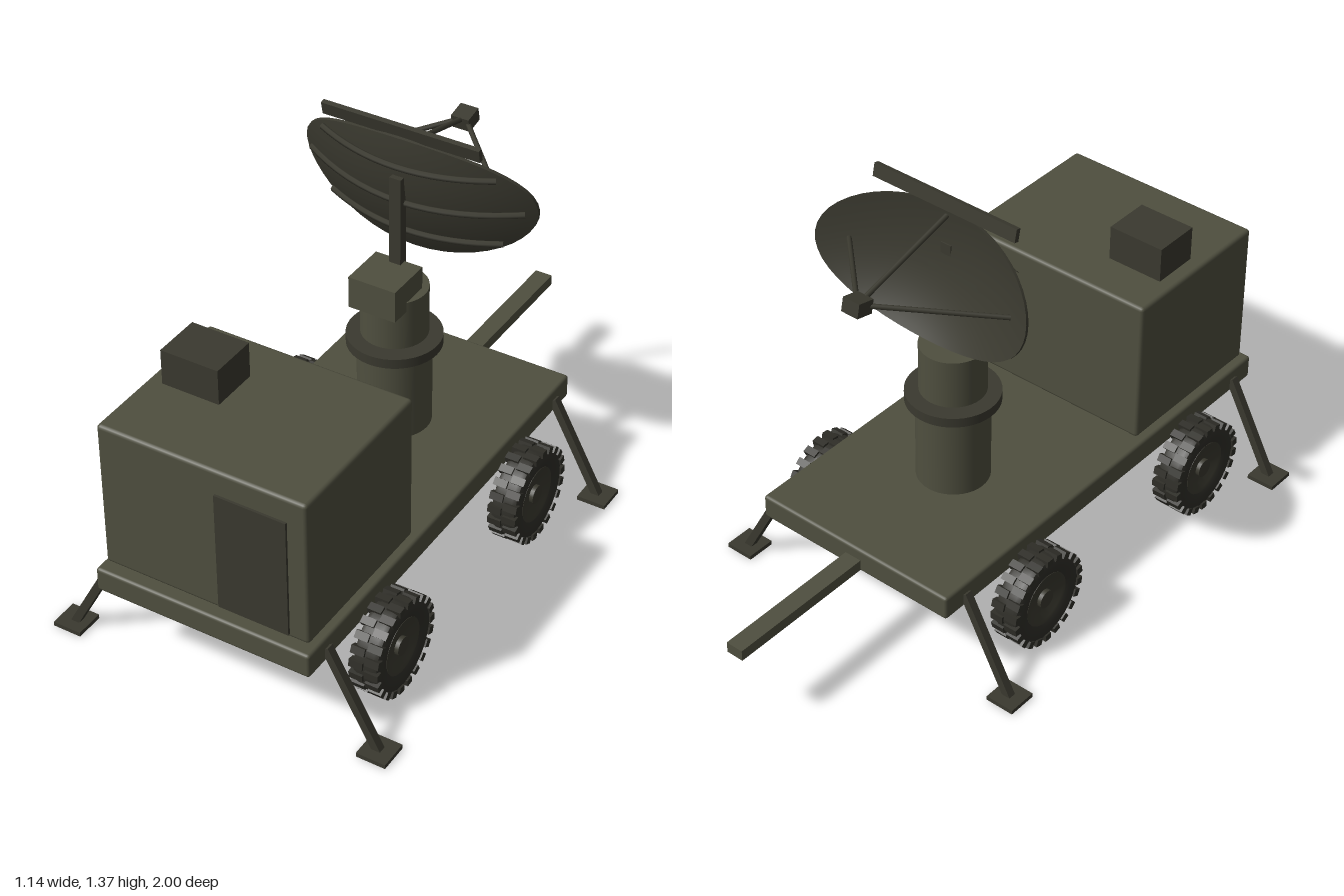
import * as THREE from 'three';
import { toCreasedNormals } from 'three/addons/utils/BufferGeometryUtils.js';
import { RoundedBoxGeometry } from 'three/addons/geometries/RoundedBoxGeometry.js';

const olive = new THREE.MeshStandardMaterial({ color: 0x4f4f3f, name: 'olive paint' });
const dark = new THREE.MeshStandardMaterial({ color: 0x3a392f, name: 'dark olive' });
const rubber = new THREE.MeshStandardMaterial({ color: 0x2f2e28, name: 'tyre rubber' });

function add(parent, name, geometry, material, x = 0, y = 0, z = 0) {
  const m = new THREE.Mesh(geometry, material);
  m.name = name;
  m.position.set(x, y, z);
  parent.add(m);
  return m;
}

// Box given by its size and centre, with an optional bevel
function box(parent, name, mat, [w, h, d], [x, y, z], bevel = 0) {
  const g = bevel ? new RoundedBoxGeometry(w, h, d, 2, bevel) : new THREE.BoxGeometry(w, h, d);
  return add(parent, name, g, mat, x, y, z);
}

// Upright cylinder between two heights
function drum(parent, name, mat, r, y0, y1, z) {
  return add(parent, name, new THREE.CylinderGeometry(r, r, y1 - y0, 40), mat, 0, (y0 + y1) / 2, z);
}

// Straight rod between two points; sides = 4 gives a square bar
function rod(parent, name, mat, from, to, r, sides) {
  const a = new THREE.Vector3(...from), b = new THREE.Vector3(...to);
  const g = new THREE.CylinderGeometry(r, r, a.distanceTo(b), sides);
  if (sides === 4) g.rotateY(Math.PI / 4);
  const m = add(parent, name, sides === 4 ? toCreasedNormals(g, 0.5) : g, mat);
  m.position.addVectors(a, b).multiplyScalar(0.5);
  m.quaternion.setFromUnitVectors(new THREE.Vector3(0, 1, 0), b.sub(a).normalize());
  return m;
}

// Lathe around the x axis with crisp edges
function wheelLathe(points) {
  const g = new THREE.LatheGeometry(points.map(p => new THREE.Vector2(...p)), 40);
  return toCreasedNormals(g.rotateZ(-Math.PI / 2), 0.6);
}

function makeWheel() {
  const wheel = new THREE.Group();
  wheel.name = 'wheel';
  add(wheel, 'tyre', wheelLathe([
    [0.088, -0.036], [0.105, -0.043], [0.13, -0.045], [0.146, -0.038], [0.151, -0.025],
    [0.151, 0.025], [0.146, 0.038], [0.13, 0.045], [0.105, 0.043], [0.088, 0.036], [0.088, -0.036],
  ]), rubber);
  add(wheel, 'rim', wheelLathe([
    [0, -0.026], [0.06, -0.026], [0.078, -0.036], [0.09, -0.038],
    [0.09, 0.038], [0.078, 0.036], [0.06, 0.026], [0, 0.026],
  ]), dark);
  const hub = add(wheel, 'hub', new THREE.CylinderGeometry(0.03, 0.03, 0.078, 20), dark);
  hub.rotation.z = Math.PI / 2;
  // Two staggered rows of tread lugs
  const lugs = 22;
  for (const side of [-1, 1]) {
    for (let i = 0; i < lugs; i++) {
      const a = ((i + (side > 0 ? 0.5 : 0)) / lugs) * Math.PI * 2;
      const lug = box(wheel, 'treadLug', rubber, [0.045, 0.022, 0.024],
        [side * 0.0255, 0.147 * Math.cos(a), 0.147 * Math.sin(a)]);
      lug.rotation.x = a;
    }
  }
  return wheel;
}

// Depth of the reflector at a point of its face; it opens towards -z
const CURVE = 0.765;
const depth = (x, y) => -CURVE * (x * x + y * y);

function makeAntenna() {
  const antenna = new THREE.Group();
  antenna.name = 'antenna';
  antenna.position.set(0, 1.123, -0.085);
  antenna.rotation.x = 0.218;

  // Oval cut of a paraboloid, as a thin closed shell
  const rings = 12, profile = [];
  for (let i = 0; i <= rings; i++) profile.push(new THREE.Vector2(i / rings, 0));
  for (let i = rings; i >= 0; i--) profile.push(new THREE.Vector2(i / rings, 0.01));
  const g = new THREE.LatheGeometry(profile, 48).rotateX(Math.PI / 2);
  const p = g.attributes.position;
  for (let i = 0; i < p.count; i++) {
    const x = p.getX(i) * 0.39, y = p.getY(i) * 0.212;
    // the lathe height is the shell thickness, pointing either way along z
    p.setXYZ(i, x, y, depth(x, y) + Math.abs(p.getZ(i)));
  }
  const shell = dark.clone();
  shell.name = 'reflector dark olive';
  shell.side = THREE.DoubleSide;
  add(antenna, 'reflector', toCreasedNormals(g, 0.7), shell);

  // Curved ribs across the back
  for (const [y, half] of [[-0.125, 0.29], [0, 0.36], [0.125, 0.29]]) {
    const pts = [];
    for (let i = -6; i <= 6; i++) {
      const x = (i / 6) * half;
      pts.push(new THREE.Vector3(x, y, depth(x, y) + 0.016));
    }
    const curve = new THREE.CatmullRomCurve3(pts);
    add(antenna, 'backRib', new THREE.TubeGeometry(curve, 16, 0.01, 6), dark);
  }

  // Long bar above the rim
  box(antenna, 'topBar', dark, [0.52, 0.042, 0.016], [0, 0.228, -0.042]);

  // Feed box held by three struts
  const feed = [0, 0.002, -0.373];
  box(antenna, 'feedBox', dark, [0.06, 0.045, 0.06], feed);
  for (const [x, y] of [[0, 0.18], [-0.3, 0], [0.3, 0]]) {
    rod(antenna, 'feedStrut', dark, [x, y, depth(x, y)], feed, 0.008, 8);
  }
  return antenna;
}

export function createModel() {
  const model = new THREE.Group();
  model.name = 'radarTrailer';

  // Trailer bed and drawbar
  box(model, 'deck', olive, [0.715, 0.08, 1.5], [0, 0.32, 0.25], 0.01);
  box(model, 'drawbar', olive, [0.058, 0.036, 0.52], [0, 0.304, -0.74]);

  // Equipment cabin
  box(model, 'cabin', olive, [0.68, 0.487, 0.55], [0, 0.616, 0.695], 0.012);
  box(model, 'cabinDoor', dark, [0.23, 0.395, 0.016], [0.163, 0.583, 0.97]);
  box(model, 'roofUnit', dark, [0.19, 0.115, 0.155], [-0.197, 0.917, 0.645]);

  // Turntable pedestal and mast
  const pz = -0.045;
  drum(model, 'pedestal', olive, 0.114, 0.355, 0.65, pz);
  drum(model, 'turntableRing', dark, 0.146, 0.643, 0.675, pz);
  drum(model, 'turntableSpindle', dark, 0.08, 0.67, 0.69, pz);
  drum(model, 'turret', olive, 0.103, 0.683, 0.845, pz);
  box(model, 'driveHousing', olive, [0.158, 0.105, 0.155], [0, 0.866, 0.008]);
  box(model, 'mast', dark, [0.038, 0.37, 0.032], [0, 1.025, -0.06]);
  model.add(makeAntenna());

  // Wheels and stabiliser legs on both sides
  for (const side of [-1, 1]) {
    for (const z of [0.647, -0.145]) {
      const wheel = makeWheel();
      wheel.position.set(side * 0.408, 0.166, z);
      model.add(wheel);
    }
    for (const z of [0.905, -0.41]) {
      rod(model, 'stabiliserLeg', dark, [side * 0.355, 0.325, z], [side * 0.522, 0.014, z], 0.018, 4);
      box(model, 'footPad', dark, [0.095, 0.014, 0.095], [side * 0.523, 0.014, z]);
    }
  }
  return model;
}
